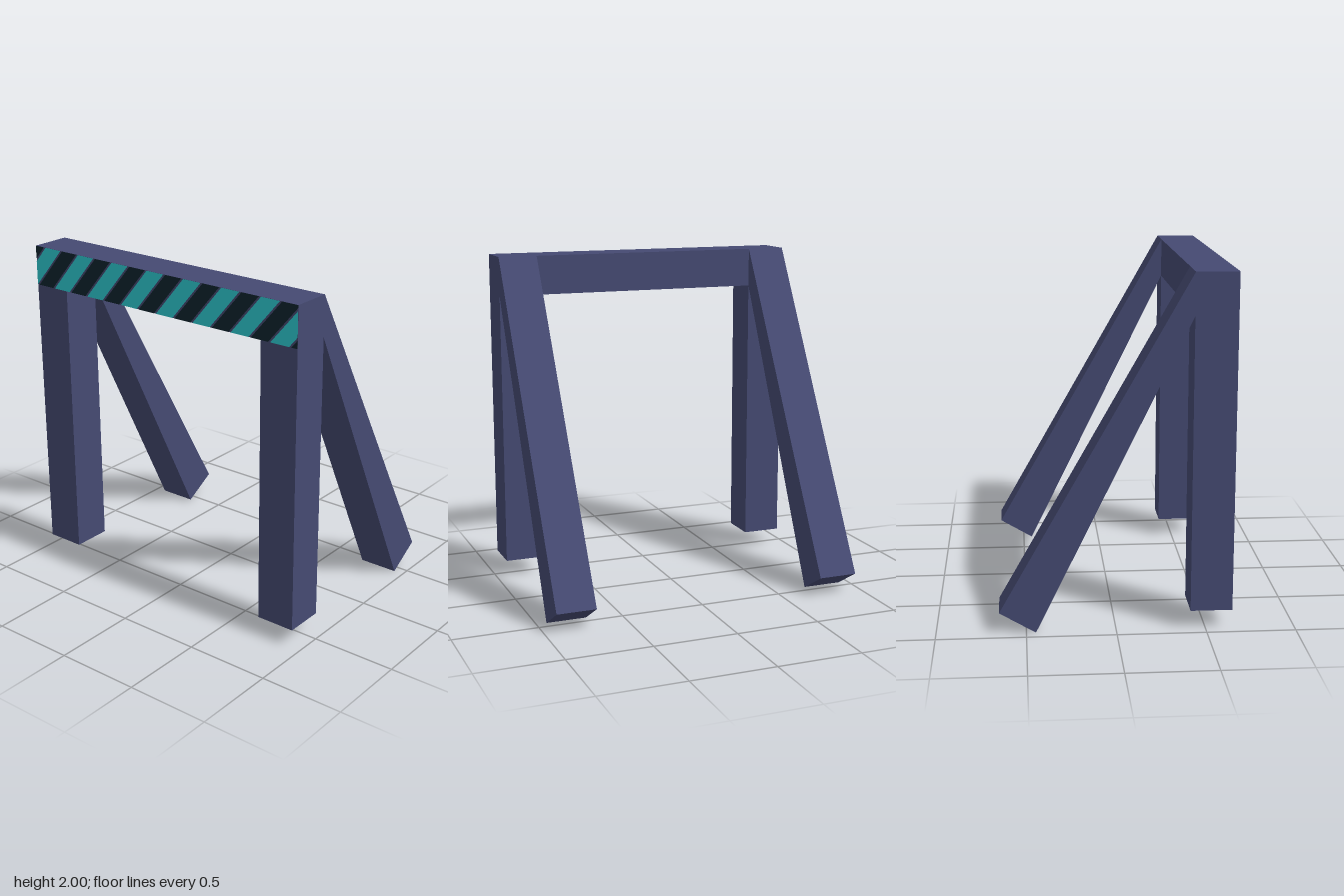
import * as THREE from 'three';

const W = 0.94, T = 0.235, BACK = 0.415, FRONT = 0.65, TOP = 2, LOW = 1.765;

const frameBlue = new THREE.MeshStandardMaterial({ color: 0x454a72 });
frameBlue.name = 'frameBlue';
const stripeCyan = new THREE.MeshStandardMaterial({ color: 0x2ecbd2 });
stripeCyan.name = 'stripeCyan';
const stripeDark = new THREE.MeshStandardMaterial({ color: 0x0f232d });
stripeDark.name = 'stripeDark';

function box(name, x0, x1, y0, y1, z0, z1) {
  const mesh = new THREE.Mesh(new THREE.BoxGeometry(x1 - x0, y1 - y0, z1 - z0), frameBlue);
  mesh.position.set((x0 + x1) / 2, (y0 + y1) / 2, (z0 + z1) / 2);
  mesh.name = name;
  return mesh;
}

// Keep the part of a polygon on one side of the line x = limit
function clipX(points, limit, sign) {
  const out = [];
  points.forEach((a, i) => {
    const b = points[(i + 1) % points.length];
    const da = sign * (limit - a.x), db = sign * (limit - b.x);
    if (da >= 0) out.push(a);
    if (da * db < 0) out.push(a.clone().lerp(b, da / (da - db)));
  });
  return out;
}

// Slanted stripe on the front of the beam, trimmed to its ends
function stripe(name, topLeft, width, material) {
  const slant = 0.2;
  let pts = [
    new THREE.Vector2(topLeft - slant, LOW), new THREE.Vector2(topLeft - slant + width, LOW),
    new THREE.Vector2(topLeft + width, TOP), new THREE.Vector2(topLeft, TOP),
  ];
  pts = clipX(clipX(pts, W, 1), -W, -1);
  if (pts.length < 3) return null;
  const mesh = new THREE.Mesh(new THREE.ShapeGeometry(new THREE.Shape(pts)), material);
  mesh.position.z = FRONT + 0.002;
  mesh.name = name;
  return mesh;
}

export function createModel() {
  const model = new THREE.Group();
  model.name = 'barrierFrame';
  model.add(box('crossbeam', -W, W, LOW, TOP, BACK, FRONT));

  // Upright legs and slanted rear braces
  const profile = new THREE.Shape([
    new THREE.Vector2(-BACK, TOP), new THREE.Vector2(-BACK, LOW),
    new THREE.Vector2(0.447, 0), new THREE.Vector2(0.65, 0.12),
  ]);
  for (const [side, x0] of [['left', W - T], ['right', -W]]) {
    model.add(box(side + 'FrontLeg', x0, x0 + T, 0.105, LOW, BACK, FRONT));
    const geometry = new THREE.ExtrudeGeometry(profile, { depth: T, bevelEnabled: false });
    geometry.rotateY(Math.PI / 2); // depth to +x, profile x to -z
    const brace = new THREE.Mesh(geometry, frameBlue);
    brace.position.x = x0;
    brace.name = side + 'RearBrace';
    model.add(brace);
  }

  // Alternating warning stripes with narrow gaps between them
  const stripes = new THREE.Group();
  stripes.name = 'warningStripes';
  const period = 0.261, cyanWidth = 0.12, gap = 0.014;
  for (let i = -1; i <= 8; i++) {
    const x = -0.86 + i * period;
    const cyan = stripe('cyanStripe', x, cyanWidth, stripeCyan);
    const dark = stripe('darkStripe', x + cyanWidth + gap, period - cyanWidth - 2 * gap, stripeDark);
    for (const s of [cyan, dark]) if (s) stripes.add(s);
  }
  model.add(stripes);
  return model;
}
